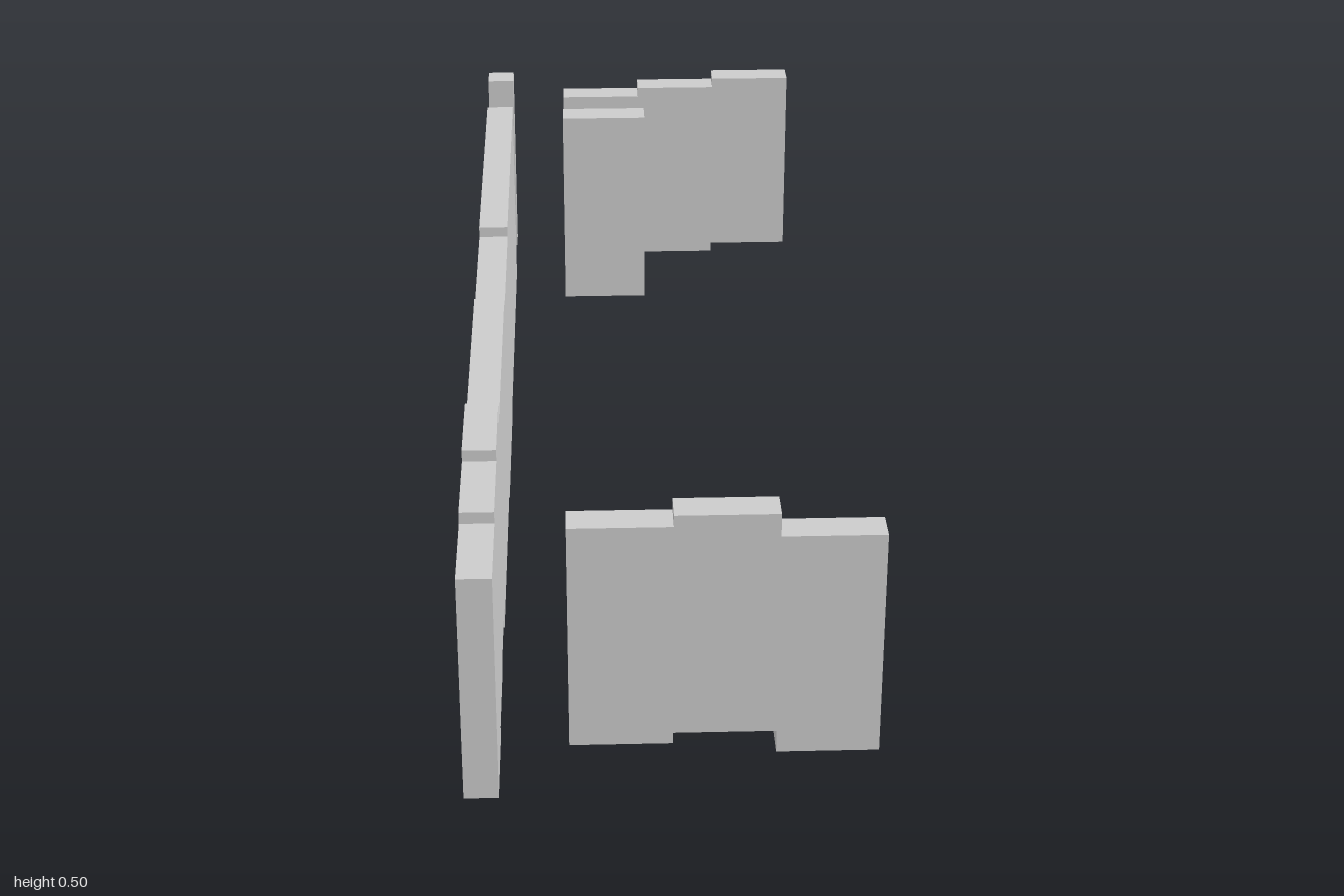
import * as THREE from 'three';

const U = 2 / 13;          // one column of wall
const T = U / 3;           // wall thickness
const STEP = 0.12 * U;     // vertical offset between levels
const H = 2.4 * U;         // wall height

const material = new THREE.MeshStandardMaterial({ color: 0xcccccc, flatShading: true });

// Stepped wall running along +x from 0; runs = [[columns, level], ...]
function steppedWall(name, runs) {
  const bottom = [], top = [];
  let x = 0;
  for (const [columns, level] of runs) {
    const y = level * STEP, end = x + columns * U;
    bottom.push(new THREE.Vector2(x, y), new THREE.Vector2(end, y));
    top.push(new THREE.Vector2(x, y + H), new THREE.Vector2(end, y + H));
    x = end;
  }
  const shape = new THREE.Shape([...bottom, ...top.reverse()]);
  const geometry = new THREE.ExtrudeGeometry(shape, { depth: T, bevelEnabled: false });
  const mesh = new THREE.Mesh(geometry, material);
  mesh.name = name;
  return mesh;
}

export function createModel() {
  const group = new THREE.Group();
  group.name = 'steppedWalls';

  // Long side wall, running from front to back
  const sideWall = steppedWall('sideWall', [[1, 1], [1, 2], [1, 3], [3, 1], [2, 0], [4, 1]]);
  sideWall.rotation.y = Math.PI / 2;
  sideWall.position.set(-2 * U, 0, 1);

  // Short walls across the front and the back
  const frontWall = steppedWall('frontWall', [[1, 2], [1, 3], [1, 1]]);
  frontWall.position.set(-U, 0, 1 - U);
  const backWall = steppedWall('backWall', [[1, 0], [1, 1], [1, 2]]);
  backWall.position.set(-U, 0, -1);

  // Raised single panel standing inside
  const innerPanel = steppedWall('innerPanel', [[1, 7]]);
  innerPanel.position.set(-U, 0, 1 - 10 * U);

  // Square post in the back corner
  const cornerPost = steppedWall('cornerPost', [[1 / 3, 2]]);
  cornerPost.position.set(-2 * U, 0, -1);

  group.add(sideWall, frontWall, backWall, innerPanel, cornerPost);
  return group;
}
